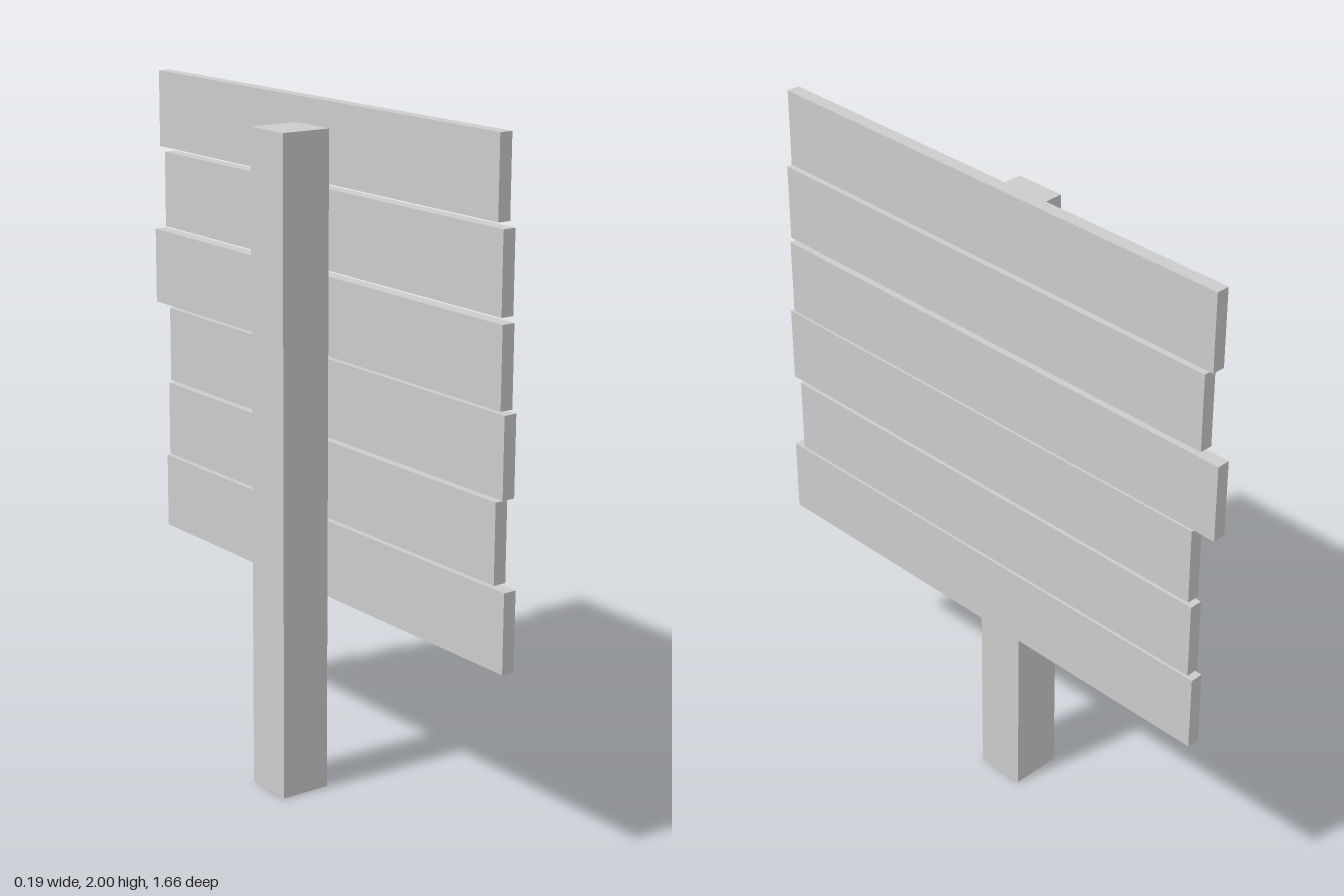
import * as THREE from 'three';

export function createModel() {
  const group = new THREE.Group();
  const material = new THREE.MeshStandardMaterial({ color: 0xcccccc, flatShading: true });

  // Adds a box spanning the given [min, max] ranges
  function addBox(name, [x0, x1], [y0, y1], [z0, z1]) {
    const mesh = new THREE.Mesh(new THREE.BoxGeometry(x1 - x0, y1 - y0, z1 - z0), material);
    mesh.position.set((x0 + x1) / 2, (y0 + y1) / 2, (z0 + z1) / 2);
    mesh.name = name;
    group.add(mesh);
  }

  // Square upright post
  addBox('post', [-0.098, 0.055], [0, 1.927], [-0.088, 0.065]);

  // Planks from top to bottom: top edge, back end, front end
  const plankHeight = 0.226;
  const planks = [
    [2.0, -0.797, 0.776],
    [1.76, -0.771, 0.797],
    [1.517, -0.83, 0.802],
    [1.284, -0.755, 0.818],
    [1.047, -0.766, 0.791],
    [0.812, -0.782, 0.833],
  ];
  planks.forEach(([top, back, front], i) => {
    addBox(`plank${i + 1}`, [0.058, 0.097], [top - plankHeight, top], [back, front]);
  });

  return group;
}
